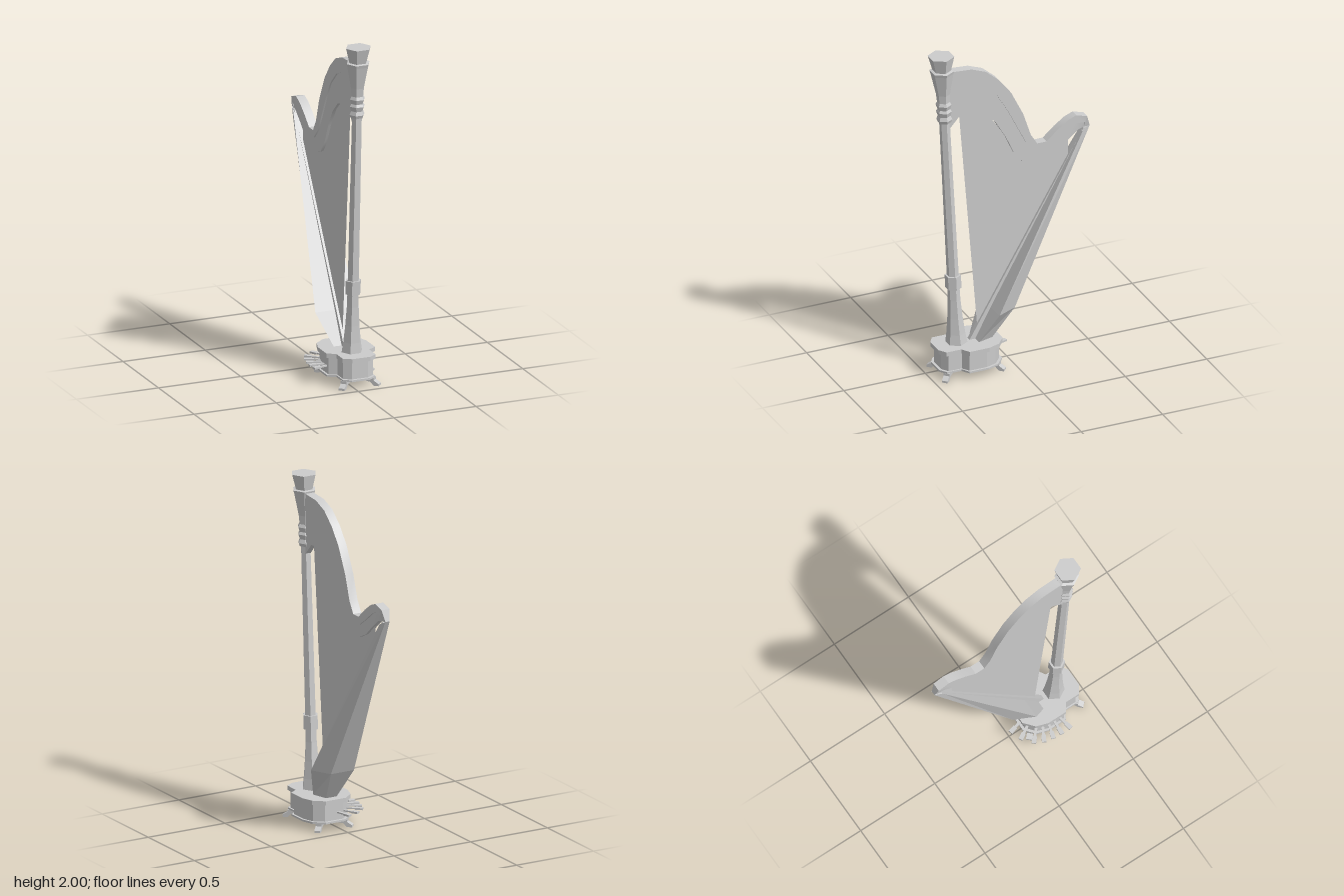
import * as THREE from 'three';
import { toCreasedNormals } from 'three/addons/utils/BufferGeometryUtils.js';

const grey = new THREE.MeshStandardMaterial({ color: 0xcccccc });
const flat = new THREE.MeshStandardMaterial({ color: 0xcccccc, flatShading: true });
const sheet = new THREE.MeshStandardMaterial({ color: 0xcccccc, side: THREE.DoubleSide });

// Closed solid from equal-length rings of [x, y, z], counter-clockwise about the travel direction
function loft(rings) {
  const n = rings[0].length, last = (rings.length - 1) * n, index = [];
  for (let i = 0; i < rings.length - 1; i++) {
    for (let j = 0; j < n; j++) {
      const a = i * n + j, b = i * n + (j + 1) % n;
      index.push(a, b, b + n, a, b + n, a + n);
    }
  }
  for (let j = 1; j < n - 1; j++) index.push(0, j + 1, j, last, last + j, last + j + 1);
  const g = new THREE.BufferGeometry();
  g.setAttribute('position', new THREE.Float32BufferAttribute(rings.flat(2), 3));
  g.setIndex(index);
  return toCreasedNormals(g, 0.5);
}

// Six-sided turned part from [radius, y] pairs, leaning with the pillar
const lean = (y) => 0.325 + (y - 0.18) * 0.052;
function hexTurned(profile) {
  const g = new THREE.LatheGeometry(profile.map(([r, y]) => new THREE.Vector2(r, y)), 6, Math.PI / 2);
  const p = g.attributes.position;
  for (let i = 0; i < p.count; i++) p.setZ(i, p.getZ(i) + lean(p.getY(i)));
  return g;
}

// Outline of the pedestal seen from above, scaled about its middle
function pedestalSlab(scale, y0, y1) {
  const half = [[0.055, 0.46], [0.1, 0.43], [0.1, 0.34], [0.148, 0.31], [0.148, 0.19], [0.125, 0.12], [0.065, 0.07]];
  const outline = [...half, ...half.map(([x, z]) => [-x, z]).reverse()];
  const shape = new THREE.Shape(outline.map(([x, z]) => new THREE.Vector2(x * scale, -(0.265 + (z - 0.265) * scale))));
  const g = new THREE.ExtrudeGeometry(shape, { depth: y1 - y0, bevelEnabled: false });
  return g.rotateX(-Math.PI / 2).translate(0, y0, 0);
}

export function createModel() {
  const model = new THREE.Group();
  const harp = new THREE.Group();
  harp.name = 'harp';
  harp.position.x = 0.035;
  model.add(harp);
  const add = (name, geometry, material = flat, parent = harp) => {
    const mesh = new THREE.Mesh(geometry, material);
    mesh.name = name;
    parent.add(mesh);
    return mesh;
  };

  // Pedestal
  add('pedestalTop', pedestalSlab(1, 0.155, 0.18));
  add('pedestalBody', pedestalSlab(0.9, 0.05, 0.16));
  add('pedestalPlinth', pedestalSlab(0.98, 0.043, 0.054));

  // Four splayed feet
  const footProfile = [[0, 0], [0, 0.012], [-0.03, 0.03], [-0.03, 0.045], [-0.09, 0.045], [-0.09, 0.025], [-0.05, 0.02], [-0.03, 0]];
  for (const side of [-1, 1]) {
    for (const [z, dir, name] of [[0.45, 1, 'frontFoot'], [0.08, -1, 'backFoot']]) {
      const g = new THREE.ExtrudeGeometry(
        new THREE.Shape(footProfile.map(([x, y]) => new THREE.Vector2(x, y)).reverse()),
        { depth: 0.034, bevelEnabled: false }).translate(0, 0, -0.017);
      const foot = add(name, g);
      foot.position.set(side * 0.116, 0, z);
      foot.rotation.y = Math.atan2(-dir, side);
    }
  }

  // Fan of seven pedals, placed by their tips
  const tips = [[-0.218, 0.294], [-0.22, 0.235], [-0.215, 0.18], [-0.203, 0.124], [-0.177, 0.072], [-0.117, 0.023], [-0.05, 0.0]];
  for (const [x, z] of tips) {
    const pedal = new THREE.Group();
    pedal.name = 'pedal';
    pedal.position.set(x, 0.097, z);
    pedal.rotation.y = Math.atan2(-(z - 0.25), x - 0.02);
    add('pedalArm', new THREE.BoxGeometry(0.11, 0.008, 0.015).translate(-0.075, 0, 0), flat, pedal);
    add('pedalPad', new THREE.BoxGeometry(0.042, 0.011, 0.025).translate(-0.021, 0, 0), flat, pedal);
    harp.add(pedal);
  }

  // Pillar: flared foot, shaft, band and capital
  add('pillarShaft', hexTurned([[0, 0.18], [0.062, 0.18], [0.053, 0.24], [0.043, 0.34], [0.036, 0.45], [0.034, 0.56], [0.03, 1.6], [0, 1.6]]));
  add('pillarBand', hexTurned([[0, 0.525], [0.046, 0.525], [0.046, 0.605], [0, 0.605]]));
  add('capital', hexTurned([
    [0, 1.582], [0.038, 1.582], [0.045, 1.6], [0.036, 1.622], [0.045, 1.65], [0.036, 1.665], [0.045, 1.692], [0.036, 1.71],
    [0.04, 1.76], [0.065, 1.89], [0.07, 1.908], [0.053, 1.912], [0.075, 2], [0, 2],
  ]));

  // Neck: thick upper rail over a thinner plate, three matching curves of [z, y]
  const top = [[0.39, 1.9], [0.244, 1.89], [0.154, 1.855], [0.074, 1.785], [0, 1.69], [-0.074, 1.54], [-0.12, 1.4],
    [-0.16, 1.335], [-0.217, 1.335], [-0.286, 1.395], [-0.35, 1.44], [-0.4, 1.46], [-0.467, 1.44], [-0.488, 1.375]];
  const mid = [[0.39, 1.795], [0.244, 1.8], [0.17, 1.77], [0.085, 1.69], [0.02, 1.58], [-0.05, 1.44], [-0.09, 1.36],
    [-0.15, 1.295], [-0.225, 1.29], [-0.29, 1.335], [-0.36, 1.39], [-0.4, 1.41], [-0.455, 1.405], [-0.46, 1.37]];
  const low = [[0.39, 1.52], [0.31, 1.61], [0.244, 1.615], [0.165, 1.59], [0.095, 1.525], [0.03, 1.415], [-0.02, 1.305],
    [-0.074, 1.235], [-0.138, 1.21], [-0.207, 1.21], [-0.286, 1.25], [-0.35, 1.31], [-0.42, 1.365], [-0.455, 1.37]];
  const band = (upper, lower, width) => loft(upper.map(([z, y], i) => {
    const [lz, ly] = lower[i], w = width(i);
    return [[w, y, z], [w, ly, lz], [-w, ly, lz], [-w, y, z]];
  }));
  add('neckRail', band(top, mid, (i) => (i > 12 ? 0.013 : 0.026)), grey);
  add('neckPlate', band(mid, low, (i) => (i > 12 ? 0.01 : 0.017)), grey);

  // Soundbox: trapezoid sections of [front y, front z, front half width, back y, back z, back half width]
  const section = ([fy, fz, fw, by, bz, bw]) => [[-fw, fy, fz], [fw, fy, fz], [bw, by, bz], [-bw, by, bz]];
  add('soundbox', loft([
    [0.18, 0.215, 0.062, 0.18, 0.12, 0.035],
    [0.36, 0.12, 0.133, 0.36, 0.0, 0.075],
    [1.35, -0.44, 0.024, 1.375, -0.488, 0.014],
  ].map(section)));
  add('stringRib', loft([
    [0.18, 0.25, 0.014, 0.18, 0.2, 0.014],
    [1.365, -0.45, 0.014, 1.365, -0.48, 0.014],
  ].map(section)));

  // Strings as one thin sheet in the middle plane
  const outline = [[0.31, 1.625], [0.197, 0.25], [-0.36, 1.2], [-0.36, 1.34], [-0.286, 1.28], [-0.207, 1.25],
    [-0.138, 1.25], [-0.05, 1.28], [0.05, 1.45], [0.165, 1.62]];
  const strings = new THREE.ShapeGeometry(new THREE.Shape(outline.map(([z, y]) => new THREE.Vector2(-z, y))));
  add('strings', strings.rotateY(Math.PI / 2), sheet);

  return model;
}
